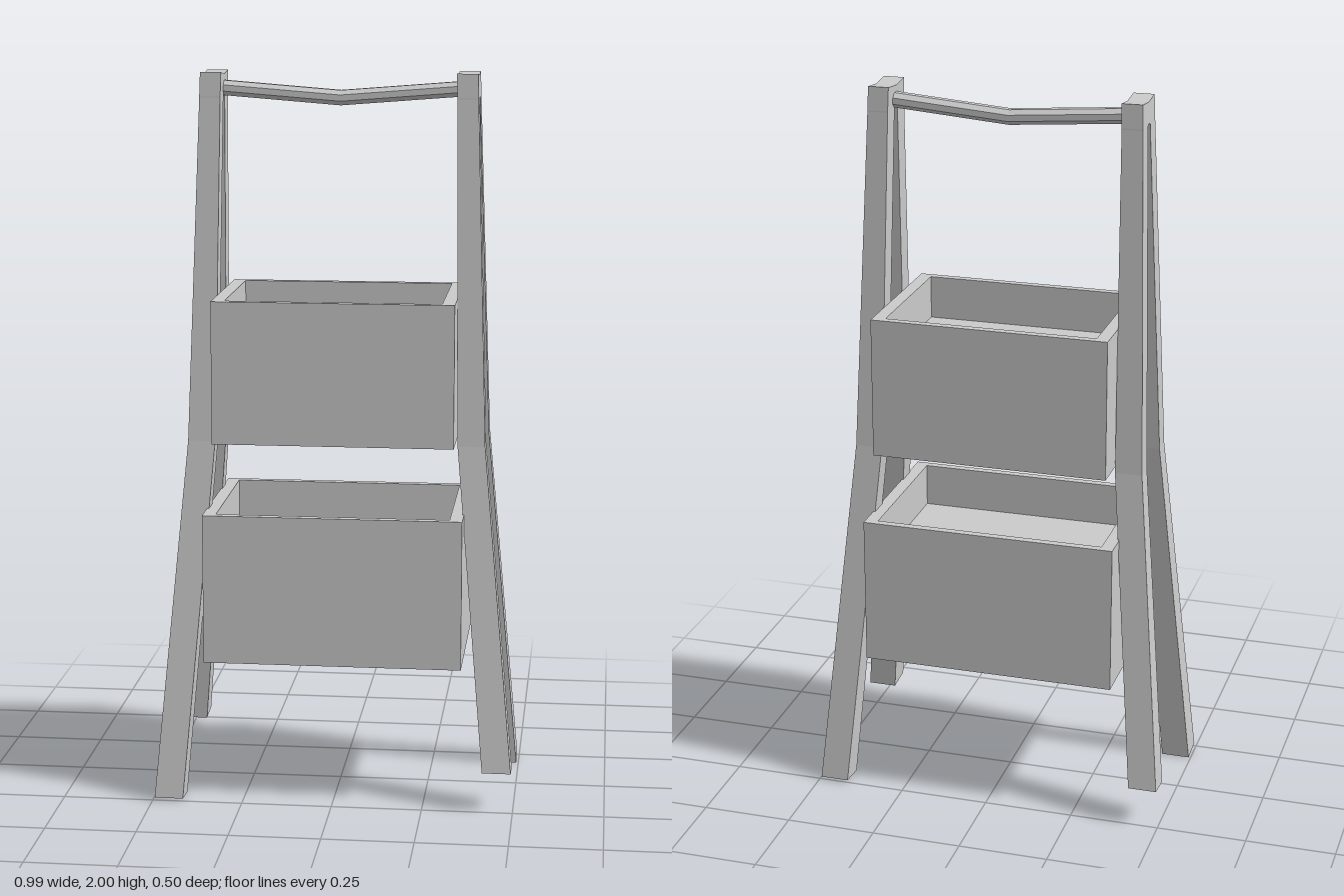
import * as THREE from 'three';

const material = new THREE.MeshStandardMaterial({ color: 0xcccccc, flatShading: true });

// Closed solid through a list of equal-sized rings, each ring counter-clockwise seen from the last one
function loft(name, rings) {
  const pos = [];
  const tri = (...pts) => pts.forEach((p) => pos.push(...p));
  const n = rings[0].length;
  for (let r = 0; r < rings.length - 1; r++) {
    const a = rings[r], b = rings[r + 1];
    for (let i = 0; i < n; i++) {
      const j = (i + 1) % n;
      tri(a[i], a[j], b[j]);
      tri(a[i], b[j], b[i]);
    }
  }
  const first = rings[0], last = rings[rings.length - 1];
  for (let i = 1; i < n - 1; i++) {
    tri(first[0], first[i + 1], first[i]);
    tri(last[0], last[i], last[i + 1]);
  }
  const geo = new THREE.BufferGeometry();
  geo.setAttribute('position', new THREE.Float32BufferAttribute(pos, 3));
  geo.computeVertexNormals();
  const mesh = new THREE.Mesh(geo, material);
  mesh.name = name;
  return mesh;
}

// Bent leg: each section is [inner x, outer x, inner z, outer z, y at inner z, y at outer z]
function makeLeg(name, sx, sz, footY) {
  const sections = [
    [0.415, 0.494, 0.175, 0.252, footY, footY + 0.008],
    [0.333, 0.408, 0.075, 0.131, 1.0, 1.0],
    [0.32, 0.377, 0.012, 0.068, 1.932, 1.932],
    [0.32, 0.377, 0, 0.068, 1.936, 1.936],
    [0.318, 0.375, 0, 0.064, 1.993, 2.0],
  ];
  return loft(name, sections.map(([xi, xo, zi, zo, yi, yo]) => {
    const ring = [[xo, yo, zo], [xo, yi, zi], [xi, yi, zi], [xi, yo, zo]]
      .map(([x, y, z]) => [x * sx, y, z * sz]);
    return sx * sz < 0 ? ring.reverse() : ring;
  }));
}

// Planter box with a shallow recess in the top
function makePlanter(name, halfX, halfZ, y0, y1, depth, zMid) {
  const rect = (hx, hz, y) => [[hx, y, zMid + hz], [hx, y, zMid - hz], [-hx, y, zMid - hz], [-hx, y, zMid + hz]];
  const ix = halfX - 0.035, iz = halfZ - 0.022;
  return loft(name, [
    rect(halfX, halfZ, y0), rect(halfX, halfZ, y1),
    rect(ix, iz, y1), rect(ix, iz, y1 - depth),
  ]);
}

export function createModel() {
  const model = new THREE.Group();
  model.name = 'tieredPlanterStand';

  // Four splayed legs; one diagonal pair is shorter
  for (const sx of [1, -1]) {
    for (const sz of [1, -1]) {
      const name = (sz > 0 ? 'front' : 'back') + (sx > 0 ? 'Left' : 'Right') + 'Leg';
      model.add(makeLeg(name, sx, sz, sx * sz > 0 ? 0.105 : 0));
    }
  }

  // Two planter boxes
  model.add(makePlanter('upperPlanter', 0.328, 0.218, 1.01, 1.4, 0.12, 0.003));
  model.add(makePlanter('lowerPlanter', 0.354, 0.237, 0.4, 0.815, 0.12, 0.003));

  // Handle rod sagging in the middle
  const rodRing = (x, y) => Array.from({ length: 8 }, (_, i) => {
    const t = ((i + 0.5) / 8) * Math.PI * 2;
    return [x, y + 0.022 * Math.cos(t), -0.005 + 0.024 * Math.sin(t)];
  });
  model.add(loft('handleRod', [rodRing(-0.33, 1.956), rodRing(0, 1.93), rodRing(0.33, 1.956)]));

  return model;
}
